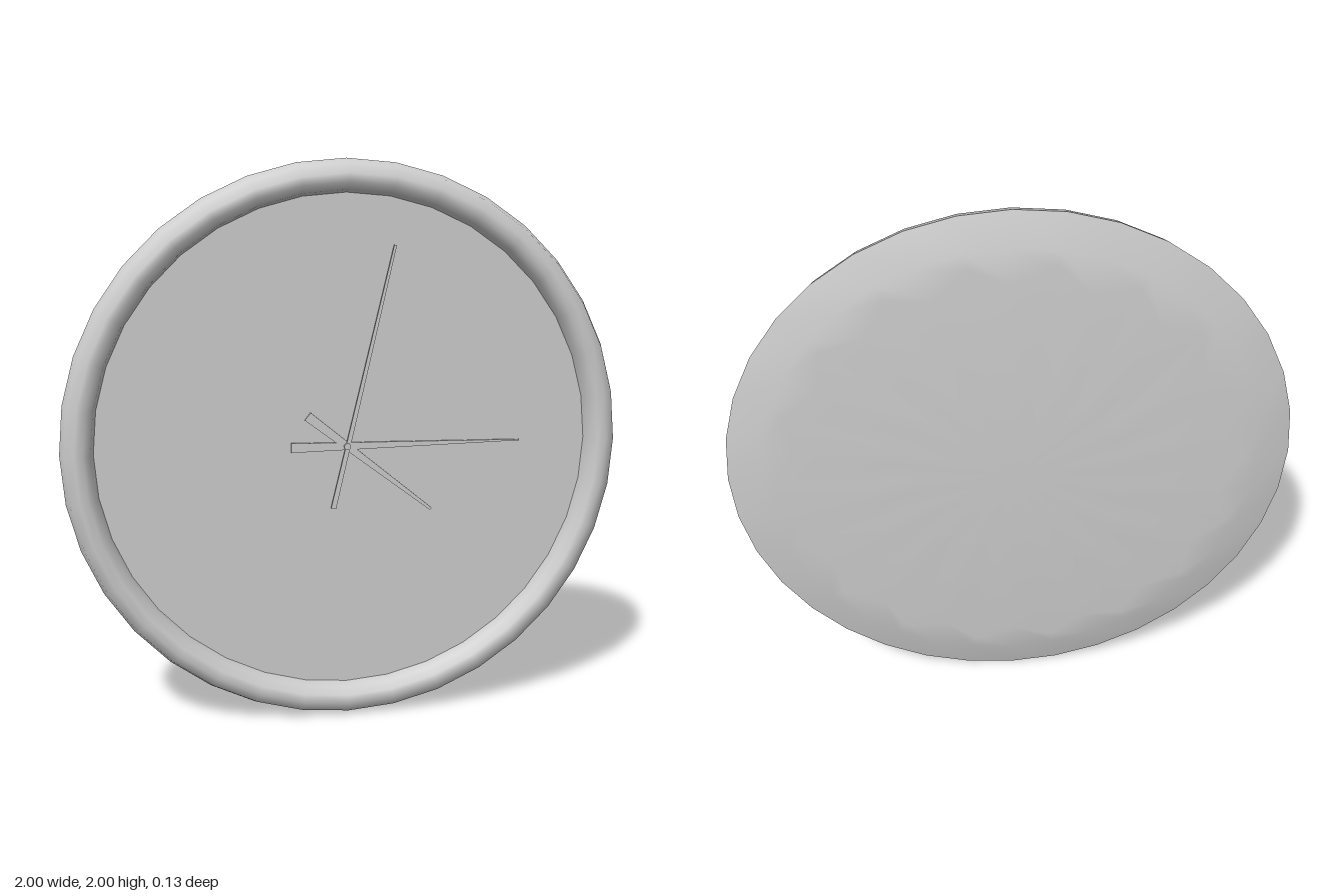
import * as THREE from 'three';
import { mergeVertices } from 'three/addons/utils/BufferGeometryUtils.js';

const SIDES = 36;
const grey = new THREE.MeshStandardMaterial({ color: 0xcccccc });

function add(group, name, geometry) {
  const mesh = new THREE.Mesh(geometry, grey);
  mesh.name = name;
  group.add(mesh);
  return mesh;
}

// Profile of [radius, z] points turned around the z axis
function turned(profile) {
  const points = profile.map(([r, z]) => new THREE.Vector2(r, z));
  return new THREE.LatheGeometry(points, SIDES).rotateX(Math.PI / 2);
}

// Shallow domed back whose edge is scalloped on every other spoke
function backGeometry() {
  const profile = [[0, -0.065], [0.4, -0.061], [0.76, -0.051], [0.88, -0.039], [1, 0]];
  const geometry = turned(profile);
  const p = geometry.attributes.position;
  const rows = profile.length;
  for (let i = 0; i < p.count; i++) {
    const row = i % rows;
    const spoke = Math.floor(i / rows);
    if (spoke % 2 === 0) continue;
    if (row === 2) {
      p.setX(i, p.getX(i) * 1.09);
      p.setY(i, p.getY(i) * 1.09);
      p.setZ(i, -0.042);
    }
    if (row === 3) p.setZ(i, -0.033);
  }
  geometry.deleteAttribute('uv');
  geometry.deleteAttribute('normal');
  const merged = mergeVertices(geometry);
  merged.computeVertexNormals();
  return merged;
}

// Thin bar from tail to tip, tapering through the given widths
function handGeometry(tail, tip, tailWidth, tipWidth, thickness) {
  const a = new THREE.Vector2(...tail);
  const b = new THREE.Vector2(...tip);
  const dir = b.clone().sub(a).normalize();
  const side = new THREE.Vector2(-dir.y, dir.x);
  const corner = (p, w) => p.clone().addScaledVector(side, w / 2);
  const shape = new THREE.Shape([
    corner(a, tailWidth), corner(a, -tailWidth), corner(b, -tipWidth), corner(b, tipWidth),
  ]);
  return new THREE.ExtrudeGeometry(shape, { depth: thickness, bevelEnabled: false });
}

export function createModel() {
  const clock = new THREE.Group();
  clock.name = 'wallClock';

  // Rounded front rim
  add(clock, 'rim', turned([
    [1, 0], [0.984, 0.045], [0.95, 0.063], [0.92, 0.06], [0.895, 0.038], [0.885, 0],
  ]));

  add(clock, 'back', backGeometry());

  // Flat dial
  add(clock, 'dial', new THREE.CircleGeometry(0.89, SIDES));

  // Hands, each at its own height on the spindle
  const hands = [
    ['hourHand', [-0.14, 0.11], [0.31, -0.245], 0.034, 0.01],
    ['minuteHand', [-0.2, 0], [0.635, 0], 0.034, 0.004],
    ['secondHand', [-0.05, -0.225], [0.17, 0.705], 0.018, 0.009],
  ];
  hands.forEach(([name, tail, tip, tailWidth, tipWidth], i) => {
    add(clock, name, handGeometry(tail, tip, tailWidth, tipWidth, 0.008)).position.z = 0.002 + i * 0.005;
  });

  // Spindle
  const spindle = new THREE.CylinderGeometry(0.012, 0.012, 0.026, 12).rotateX(Math.PI / 2);
  add(clock, 'spindle', spindle).position.z = 0.013;

  clock.children.forEach((part) => { part.position.y = 1; });
  return clock;
}
